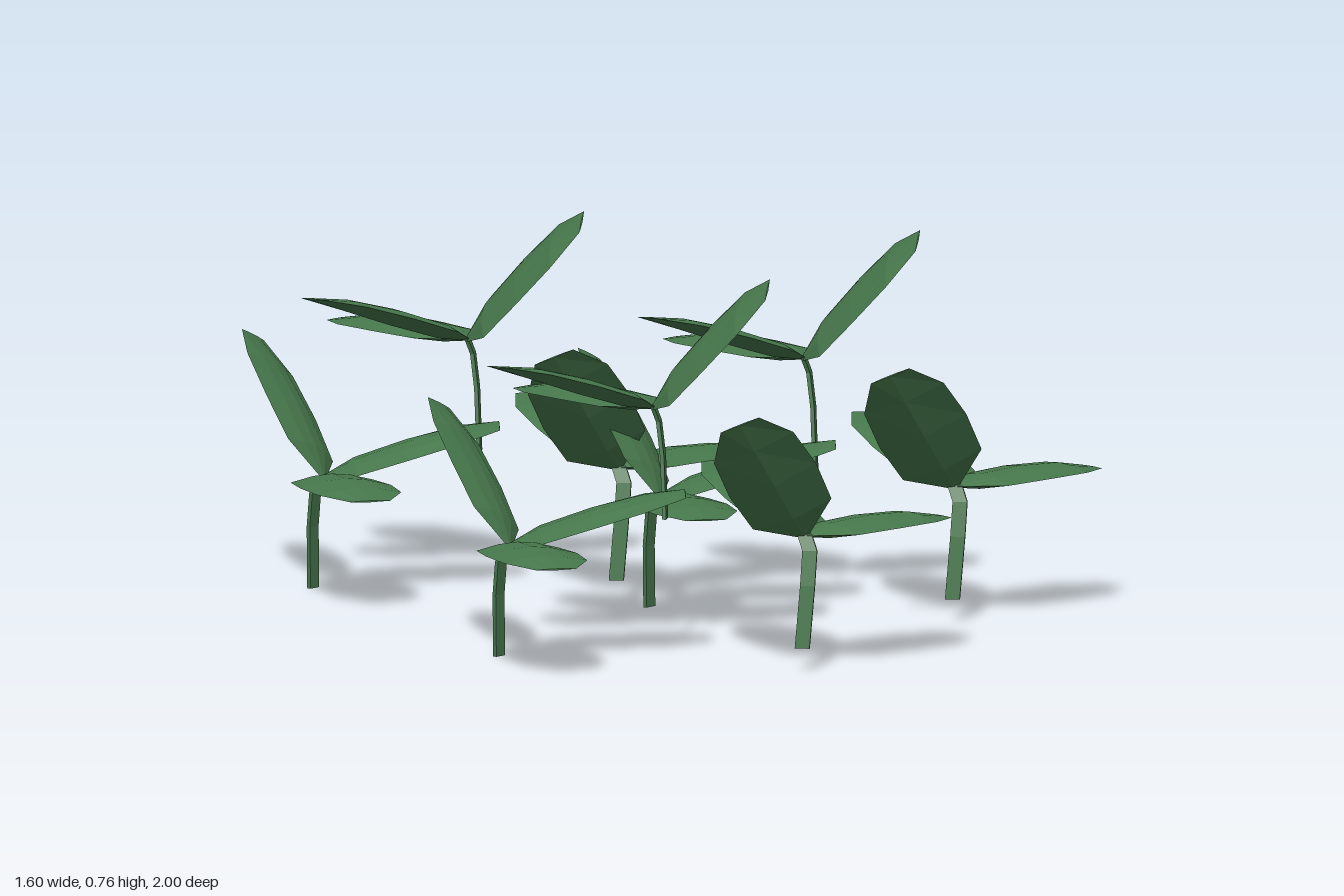
import * as THREE from 'three';

const green = new THREE.MeshStandardMaterial({ color: 0x47784c, flatShading: true, side: THREE.DoubleSide });

// Skin a list of equal-sized closed rings, with both ends capped
function loft(rings) {
  const n = rings[0].length, pos = rings.flat(2), index = [];
  for (let i = 0; i < rings.length - 1; i++) {
    for (let j = 0; j < n; j++) {
      const a = i * n + j, b = i * n + (j + 1) % n;
      index.push(a, a + n, b, b, a + n, b + n);
    }
  }
  const last = (rings.length - 1) * n;
  for (let j = 1; j < n - 1; j++) {
    index.push(0, j, j + 1, last, last + j + 1, last + j);
  }
  const g = new THREE.BufferGeometry();
  g.setAttribute('position', new THREE.Float32BufferAttribute(pos, 3));
  g.setIndex(index);
  g.computeVertexNormals();
  return g;
}

// Leaf along +z: thin lens section, blunt tip, [distance, half width, thickness, rise]
const leafGeometry = loft([
  [0, 0.012, 0.2, 0], [0.07, 0.086, 0.9, 0.002], [0.18, 0.095, 1, 0.005],
  [0.29, 0.087, 0.7, 0.005], [0.372, 0.042, 0.1, 0],
].map(([z, w, t, y]) => [
  [w, y, z], [w * 0.45, y + 0.013 * t, z], [0, y + 0.017 * t, z], [-w * 0.45, y + 0.013 * t, z],
  [-w, y, z], [0, y - 0.017 * t, z],
]));

// Stem: a slightly bent flat strip, hanging below the point where the leaves meet
const strip = [0.766, -0.643];
const stemGeometry = loft([
  [-0.015, -0.227, -0.02], [-0.019, -0.1, -0.009], [-0.016, -0.03, 0], [0, 0.003, 0],
].map(([x, y, z]) => [[1, 1], [1, -1], [-1, -1], [-1, 1]].map(([a, b]) => {
  const w = a * 0.015, t = b * 0.004;
  return [x + w * strip[0] - t * strip[1], y, z + w * strip[1] + t * strip[0]];
})));

// [heading, upward pitch, roll] in degrees
const leaves = [[1, 0.5, 0], [76, 16.5, 5], [198, 44, 32]];

function createSprout() {
  const sprout = new THREE.Group();
  sprout.name = 'sprout';
  const stem = new THREE.Mesh(stemGeometry, green);
  stem.name = 'stem';
  sprout.add(stem);
  for (const [heading, pitch, roll] of leaves) {
    const leaf = new THREE.Mesh(leafGeometry, green);
    leaf.name = 'leaf';
    const [x, y, z] = [-pitch, heading, roll].map(THREE.MathUtils.degToRad);
    leaf.rotation.set(x, y, z, 'YXZ');
    sprout.add(leaf);
  }
  return sprout;
}

// Sprouts of one cluster: [x, y, z, turn]
const sprouts = [[-0.53, 0.229, 0.482, 0], [-0.2, 0.483, 0.36, 208], [0.01, 0.274, 0.785, 119]];
const clusters = [[0, 0], [-0.135, -1.02], [0.46, -0.6]];

export function createModel() {
  const model = new THREE.Group();
  model.name = 'leafyPlants';
  for (const [cx, cz] of clusters) {
    const cluster = new THREE.Group();
    cluster.name = 'plantCluster';
    cluster.position.set(cx, 0, cz);
    for (const [x, y, z, turn] of sprouts) {
      const sprout = createSprout();
      sprout.position.set(x, y, z);
      sprout.rotation.y = THREE.MathUtils.degToRad(turn);
      cluster.add(sprout);
    }
    model.add(cluster);
  }
  return model;
}
